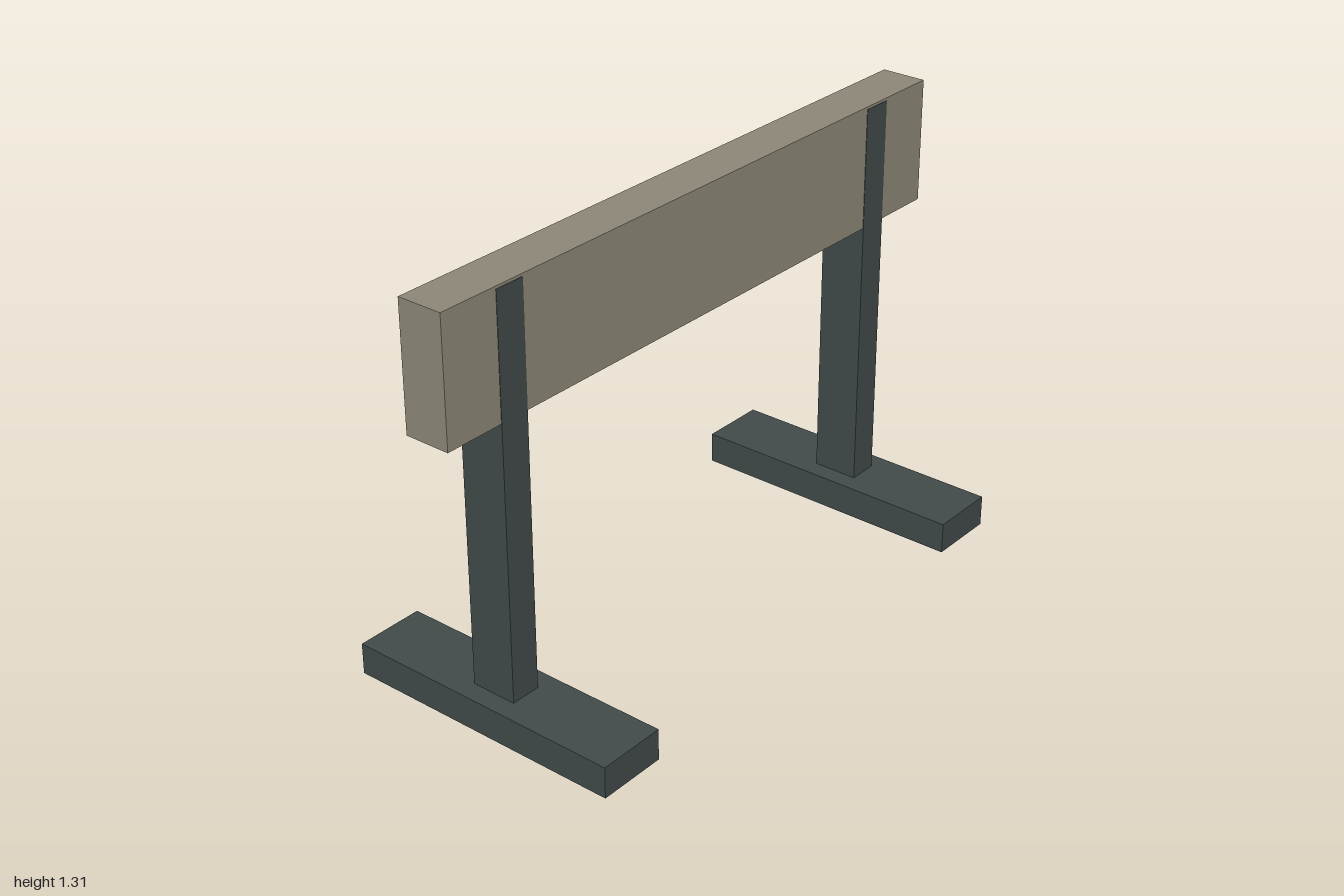
import * as THREE from 'three';

export function createModel() {
  const model = new THREE.Group();
  model.name = 'barrier';

  const wood = new THREE.MeshStandardMaterial({ color: 0x8c8777 });
  wood.name = 'weathered wood';
  const metal = new THREE.MeshStandardMaterial({ color: 0x414a4a });
  metal.name = 'dark slate';

  // Box standing on height y
  function box(name, material, [w, h, d], x, y, parent) {
    const mesh = new THREE.Mesh(new THREE.BoxGeometry(w, h, d), material);
    mesh.name = name;
    mesh.position.set(x, y + h / 2, 0);
    parent.add(mesh);
    return mesh;
  }

  // Wide crossbeam
  box('crossbeam', wood, [2, 0.376, 0.14], 0, 0.932, model);

  // Two supports: a long foot and a post that shows just proud of the beam faces
  const footHeight = 0.096;
  for (const side of [-1, 1]) {
    const support = new THREE.Group();
    support.name = side > 0 ? 'leftSupport' : 'rightSupport';
    support.position.x = side * 0.765;
    box('foot', metal, [0.212, footHeight, 0.88], 0, 0, support);
    box('post', metal, [0.094, 1.3 - footHeight, 0.143], 0, footHeight, support);
    model.add(support);
  }

  return model;
}
